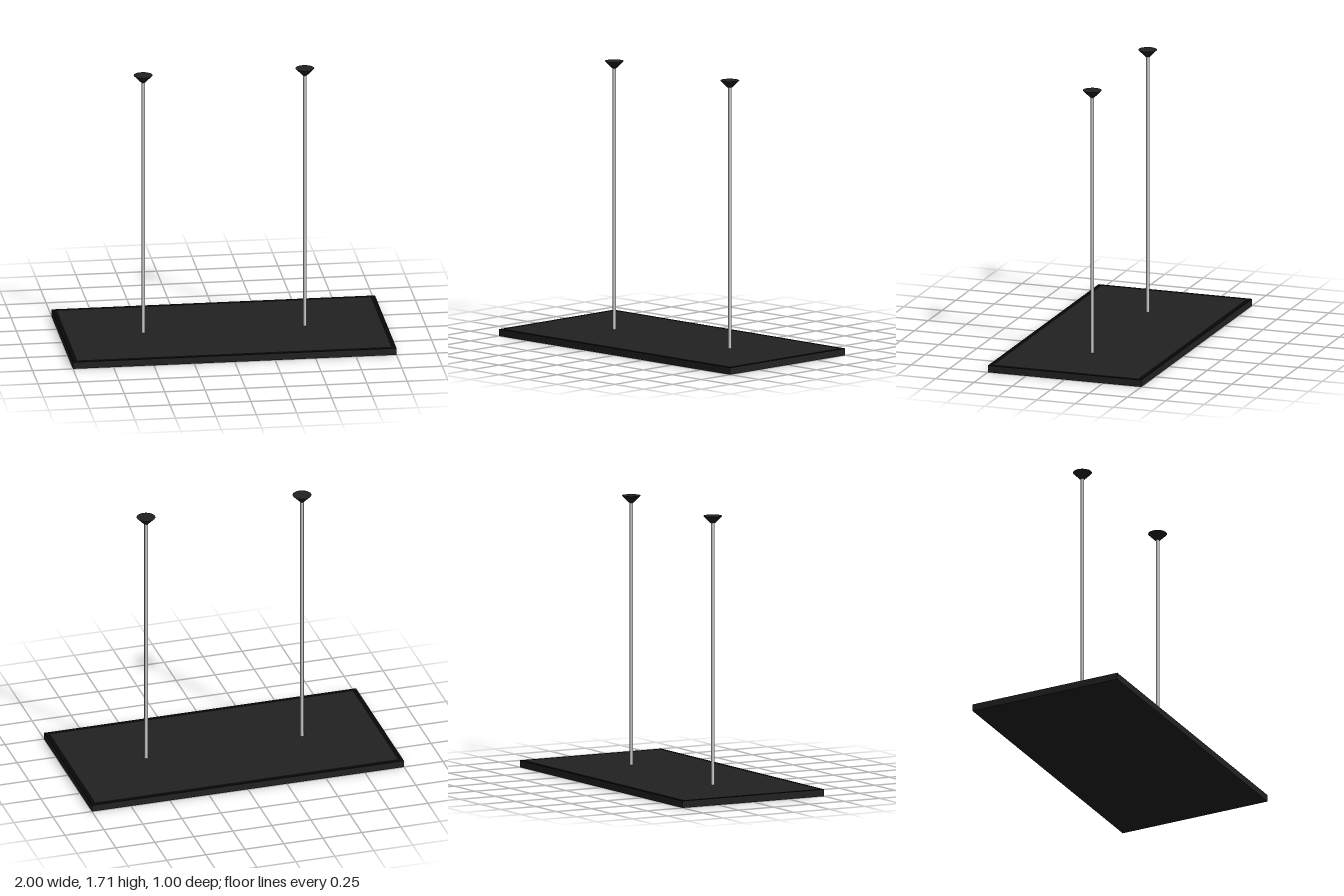
import * as THREE from 'three';

const dark = new THREE.MeshStandardMaterial({ color: 0x222222 });
const black = new THREE.MeshStandardMaterial({ color: 0x080808 });
const metal = new THREE.MeshStandardMaterial({ color: 0xcccccc });

const WIDTH = 2, DEPTH = 1, HEIGHT = 0.043, RIM = 0.03, RIM_HEIGHT = 0.002;
const TOP = 1.71, CANOPY_HEIGHT = 0.044;

function part(name, geometry, material, x, y, z) {
  const mesh = new THREE.Mesh(geometry, material);
  mesh.name = name;
  mesh.position.set(x, y, z);
  return mesh;
}

// Rectangle outline centred on the origin
function corners(w, d) {
  return [[-w, -d], [w, -d], [w, d], [-w, d]].map(([x, y]) => new THREE.Vector2(x / 2, y / 2));
}

export function createModel() {
  const model = new THREE.Group();
  model.name = 'pendantPanelLamp';

  // Flat lamp body
  const bodyHeight = HEIGHT - RIM_HEIGHT;
  model.add(part('lampBody', new THREE.BoxGeometry(WIDTH, bodyHeight, DEPTH), dark, 0, bodyHeight / 2, 0));

  // Black rim around the top, with the cover panel filling it
  const outline = new THREE.Shape(corners(WIDTH, DEPTH));
  outline.holes.push(new THREE.Path(corners(WIDTH - 2 * RIM, DEPTH - 2 * RIM).reverse()));
  const rim = new THREE.ExtrudeGeometry(outline, { depth: RIM_HEIGHT, bevelEnabled: false });
  rim.rotateX(-Math.PI / 2);
  model.add(part('topRim', rim, black, 0, bodyHeight, 0));
  const cover = new THREE.BoxGeometry(WIDTH - 2 * RIM, RIM_HEIGHT, DEPTH - 2 * RIM);
  model.add(part('topCover', cover, dark, 0, HEIGHT - RIM_HEIGHT / 2, 0));

  // Two hanging rods, each with a conical ceiling mount
  const rodBottom = HEIGHT - 0.01, rodTop = TOP - 0.02;
  const rod = new THREE.CylinderGeometry(0.011, 0.011, rodTop - rodBottom, 24);
  const mount = new THREE.CylinderGeometry(0.058, 0.015, CANOPY_HEIGHT, 32);
  for (const [side, x] of [['left', 0.5], ['right', -0.5]]) {
    model.add(part(side + 'Rod', rod, metal, x, (rodTop + rodBottom) / 2, 0));
    model.add(part(side + 'CeilingMount', mount, dark, x, TOP - CANOPY_HEIGHT / 2, 0));
  }
  return model;
}
